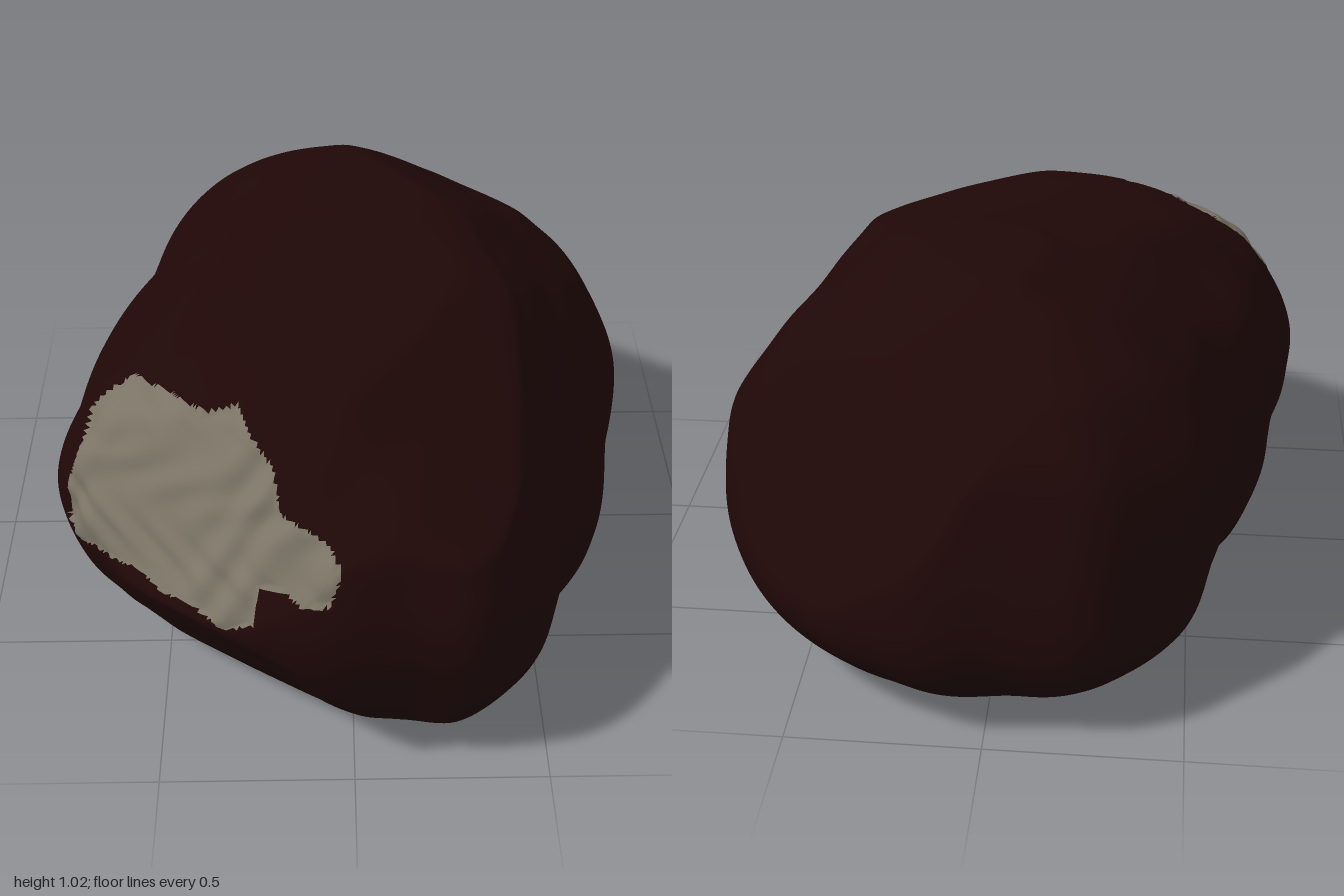
import * as THREE from 'three';

// Plan outline (x, z), starting at the front and running round by the left side
const OUTLINE = [
  [-0.05, 0.99], [0.15, 0.965], [0.32, 0.95], [0.49, 0.78], [0.57, 0.57], [0.66, 0.42], [0.71, 0.2],
  [0.75, 0], [0.78, -0.2], [0.77, -0.37], [0.72, -0.55], [0.6, -0.75], [0.43, -0.9], [0.28, -0.96],
  [0.13, -1], [-0.05, -0.98], [-0.25, -0.97], [-0.38, -0.88], [-0.53, -0.7], [-0.59, -0.5],
  [-0.62, -0.33], [-0.69, -0.18], [-0.73, 0], [-0.76, 0.2], [-0.79, 0.35], [-0.74, 0.53],
  [-0.65, 0.66], [-0.56, 0.78], [-0.39, 0.9], [-0.2, 0.97],
];

// Extents of each level: y, xMin, xMax, zMin, zMax
const LEVELS = [
  [0.005, -0.03, 0.01, -0.03, 0.01], [0.012, -0.24, 0.16, -0.4, 0.45], [0.03, -0.44, 0.36, -0.72, 0.7],
  [0.06, -0.6, 0.5, -0.86, 0.86], [0.11, -0.69, 0.65, -0.94, 0.94], [0.2, -0.74, 0.73, -0.99, 0.97],
  [0.3, -0.77, 0.77, -1, 0.99], [0.4, -0.78, 0.785, -0.98, 1], [0.5, -0.785, 0.775, -0.95, 0.99],
  [0.6, -0.76, 0.73, -0.915, 0.96], [0.7, -0.71, 0.67, -0.87, 0.92], [0.8, -0.64, 0.59, -0.79, 0.84],
  [0.86, -0.575, 0.545, -0.745, 0.73], [0.9, -0.52, 0.515, -0.705, 0.58], [0.95, -0.37, 0.475, -0.655, 0.32],
  [1.0, -0.18, 0.39, -0.58, 0], [1.022, -0.1, 0.25, -0.5, -0.12], [1.028, 0.02, 0.04, -0.36, -0.34],
];

// Corners worn away (or swollen, if negative): direction x, z, arc width, height, height spread, amount
const WEAR = [
  [-0.6, 0.72, 0.36, 0.12, 0.22, 0.12],
  [-0.6, 0.72, 0.45, 0.89, 0.08, 0.07],
  [0.6, 0.65, 0.4, 0.12, 0.15, -0.04],
];

// Slanting facets: convex outlines (u, v), each swept along a slanted axis
const CUT_A = [
  [-0.915, 0.37], [-0.87, 0.55], [-0.73, 0.72], [0.02, 1.07], [0.175, 1.09], [0.3, 1.075], [0.55, 0.92],
  [0.84, 0.55], [0.92, 0.37], [0.91, 0.285], [0.84, 0.145], [0.755, 0.05], [0.5, -0.125], [0.14, -0.28],
  [-0.18, -0.335], [-0.32, -0.33], [-0.52, -0.235], [-0.66, -0.065], [-0.9, 0.26],
];
const CUT_B = [
  [-0.915, 0.145], [-0.88, 0.415], [-0.795, 0.655], [-0.6, 0.82], [-0.345, 0.96], [0.02, 1.005], [0.36, 1],
  [0.53, 0.955], [0.605, 0.9], [0.815, 0.665], [0.915, 0.485], [0.915, 0.37], [0.84, 0.23], [0.73, 0.045],
  [0.56, -0.11], [0.105, -0.285], [-0.23, -0.32], [-0.485, -0.305], [-0.685, -0.23], [-0.825, -0.08],
  [-0.9, 0.045],
];
const CUT_C = [
  [-0.865, 0.005], [-0.86, 0.135], [-0.745, 0.43], [-0.575, 0.68], [-0.405, 0.88], [-0.18, 1.015],
  [0.145, 1.075], [0.34, 1.07], [0.61, 0.99], [0.78, 0.795], [0.86, 0.595], [0.87, 0.315], [0.61, -0.025],
  [0.33, -0.27], [-0.04, -0.29], [-0.575, -0.29], [-0.745, -0.235], [-0.86, -0.125],
];

// One plane per outline edge, with u and v axes given in model space
function facets(outline, uAxis, vAxis) {
  const U = new THREE.Vector3(...uAxis), V = new THREE.Vector3(...vAxis);
  return outline.map(([u, v], i) => {
    const [u2, v2] = outline[(i + 1) % outline.length];
    const n = new THREE.Vector2(v - v2, u2 - u).normalize();
    const normal = U.clone().multiplyScalar(n.x).addScaledVector(V, n.y);
    return { normal, offset: n.x * u + n.y * v + 0.006 };
  });
}
const FACETS = [
  ...facets(CUT_A, [0.819, 0, -0.574], [-0.278, 0.875, -0.397]),
  ...facets(CUT_B, [-0.819, 0, 0.574], [0.278, 0.875, 0.397]),
  ...facets(CUT_C, [-0.819, 0, -0.574], [0.278, 0.875, -0.397]),
];

// Press a point back behind every facet, with softened edges
function press(point) {
  for (const { normal, offset } of FACETS) {
    const d = point.dot(normal) - offset;
    point.addScaledVector(normal, -(d + Math.sqrt(d * d + 0.0001)) / 2);
  }
  return point;
}

// Ragged edge of the exposed patch, in front projection (x, y)
const PATCH = [
  [-0.745, 0.47], [-0.7, 0.44], [-0.67, 0.47], [-0.55, 0.5], [-0.48, 0.48], [-0.4, 0.49], [-0.32, 0.47],
  [-0.25, 0.5], [-0.23, 0.58], [-0.17, 0.59], [-0.12, 0.57], [-0.06, 0.58], [-0.03, 0.66], [-0.06, 0.7],
  [-0.18, 0.73], [-0.19, 0.8], [-0.23, 0.83], [-0.28, 0.88], [-0.36, 0.86], [-0.48, 0.85], [-0.6, 0.835],
  [-0.65, 0.8], [-0.69, 0.68], [-0.73, 0.58],
];

function inPatch(x, y, z) {
  if (z < 0.38) return false;
  let inside = false;
  for (let i = 0, j = PATCH.length - 1; i < PATCH.length; j = i++) {
    const [ax, ay] = PATCH[i], [bx, by] = PATCH[j];
    if ((ay > y) !== (by > y) && x < ((bx - ax) * (y - ay)) / (by - ay) + ax) inside = !inside;
  }
  return inside;
}

const curve = (points, closed) =>
  new THREE.CatmullRomCurve3(points.map((p) => new THREE.Vector3(...p)), closed, 'catmullrom', 0.5);

// Radius factor of a point at offset (dx, dz) from its level's centre
function worn(dx, dz, y) {
  let factor = 1;
  for (const [wx, wz, arc, height, spread, amount] of WEAR) {
    const angle = Math.atan2(wx * dz - wz * dx, wx * dx + wz * dz);
    factor -= amount * Math.exp(-((angle / arc) ** 2) - ((y - height) / spread) ** 2);
  }
  return factor;
}

// Broad shallow dents
const dents = (x, y, z) =>
  0.005 * Math.sin(7 * x + 3 * Math.sin(4 * z) + 2) * Math.sin(8 * y + 5 * z) +
  0.004 * Math.sin(13 * z + 4 * y + 2 * Math.sin(6 * x)) * Math.sin(11 * x - 9 * y);

// Fine slanted ridges of the exposed patch
const ridges = (x, y, z) =>
  0.006 * Math.sin(30 * (y - 0.7 * x) + 4 * Math.sin(9 * x + 7 * z)) +
  0.004 * Math.sin(40 * x + 4 * Math.sin(22 * y)) - 0.004;

export function createModel() {
  const AROUND = 420, UP = 165;
  const outline = curve(OUTLINE.map(([x, z]) => [x, 0, z]), true);
  const xSpan = curve(LEVELS.map(([y, a, b]) => [a, b, y]), false);
  const zSpan = curve(LEVELS.map(([y, , , a, b]) => [a, b, y]), false);

  // Stacked cross-sections: the outline fitted to every level's extents, worn and pressed
  const ring = Array.from({ length: AROUND }, (_, i) => outline.getPoint(i / AROUND));
  const positions = [];
  for (let j = 0; j <= UP; j++) {
    const xs = xSpan.getPoint(j / UP), zs = zSpan.getPoint(j / UP);
    const cx = (xs.x + xs.y) / 2, cz = (zs.x + zs.y) / 2;
    for (const p of ring) {
      const dx = ((p.x + 0.005) / 1.57) * (xs.y - xs.x), dz = ((p.z + 0.005) / 1.99) * (zs.y - zs.x);
      const f = worn(dx, dz, xs.z);
      positions.push(...press(new THREE.Vector3(cx + f * dx, xs.z, cz + f * dz)));
    }
  }
  const bottom = positions.length / 3;
  positions.push(...press(new THREE.Vector3(-0.01, 0.003, -0.01)), ...press(new THREE.Vector3(0.03, 1.028, -0.35)));

  const geometry = new THREE.BufferGeometry();
  const pos = new THREE.Float32BufferAttribute(positions, 3);
  geometry.setAttribute('position', pos);

  // Sort the faces into crust and patch
  const crustFaces = [], patchFaces = [];
  const addFace = (...f) => {
    const mid = (k) => f.reduce((s, i) => s + positions[3 * i + k], 0) / 3;
    (inPatch(mid(0), mid(1), mid(2)) ? patchFaces : crustFaces).push(...f);
  };
  for (let i = 0; i < AROUND; i++) {
    const n = (i + 1) % AROUND, top = UP * AROUND;
    addFace(bottom, n, i);
    addFace(bottom + 1, top + i, top + n);
    for (let j = 0; j < UP; j++) {
      const a = j * AROUND + i, b = j * AROUND + n;
      addFace(a, b, b + AROUND);
      addFace(a, b + AROUND, a + AROUND);
    }
  }
  geometry.setIndex(crustFaces.concat(patchFaces));
  geometry.addGroup(0, crustFaces.length, 0);
  geometry.addGroup(crustFaces.length, patchFaces.length, 1);
  geometry.computeVertexNormals();

  // Push the surface along its normals for the uneven relief
  const normal = geometry.attributes.normal;
  for (let i = 0; i < pos.count; i++) {
    const x = pos.getX(i), y = pos.getY(i), z = pos.getZ(i);
    const fade = THREE.MathUtils.smoothstep(y, 0.02, 0.15);
    const d = fade * dents(x, y, z) + (inPatch(x, y, z) ? ridges(x, y, z) : 0);
    pos.setXYZ(i, x + d * normal.getX(i), y + d * normal.getY(i), z + d * normal.getZ(i));
  }
  geometry.computeVertexNormals();

  const crust = new THREE.MeshStandardMaterial({ color: 0x1f0707 });
  crust.name = 'dark red-brown crust';
  const stone = new THREE.MeshStandardMaterial({ color: 0x7b7466 });
  stone.name = 'grey exposed stone';

  const boulder = new THREE.Mesh(geometry, [crust, stone]);
  boulder.name = 'boulder';
  const group = new THREE.Group();
  group.name = 'chippedBoulder';
  group.add(boulder);
  return group;
}
